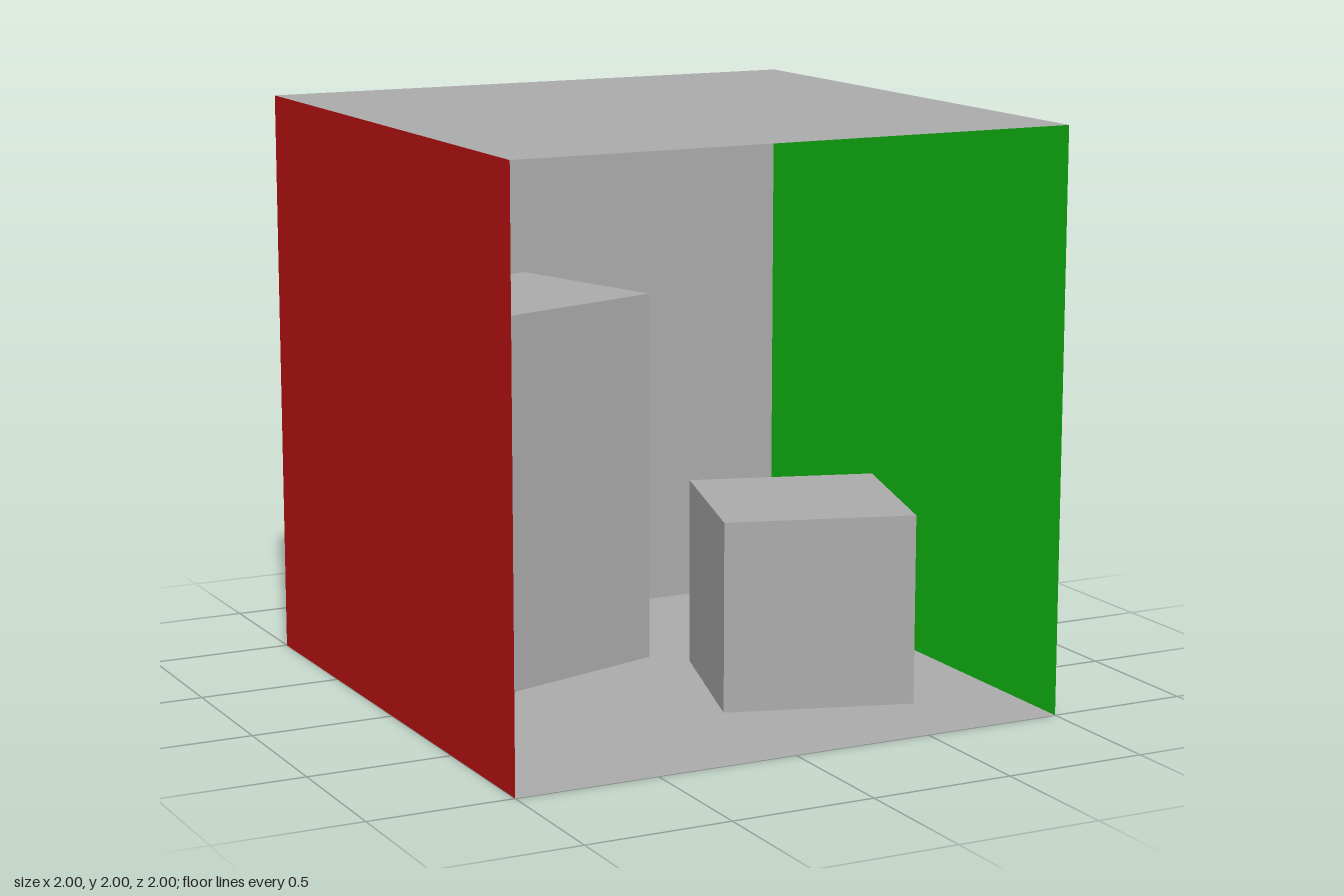
import * as THREE from 'three';

export function createModel() {
  const model = new THREE.Group();
  model.name = 'openRoom';

  const material = (name, color) => {
    const m = new THREE.MeshStandardMaterial({ color, side: THREE.DoubleSide });
    m.name = name;
    return m;
  };
  const grey = material('grey', 0xaaaaaa);
  const green = material('green', 0x11b911);
  const red = material('red', 0xb91111);

  const add = (name, geometry, mat, position, rx = 0, ry = 0) => {
    const mesh = new THREE.Mesh(geometry, mat);
    mesh.name = name;
    mesh.position.set(...position);
    mesh.rotation.set(rx, ry, 0);
    model.add(mesh);
  };

  // Room shell: single sheets, open at the front
  const sheet = new THREE.PlaneGeometry(2, 2);
  const quarter = Math.PI / 2;
  add('floor', sheet, grey, [0, 0, 0], -quarter);
  add('ceiling', sheet, grey, [0, 2, 0], quarter);
  add('backWall', sheet, grey, [0, 1, -1]);
  add('leftWall', sheet, green, [1, 1, 0], 0, -quarter);
  add('rightWall', sheet, red, [-1, 1, 0], 0, quarter);

  // Two blocks standing on the floor, turned opposite ways
  const side = 0.66;
  const turn = THREE.MathUtils.degToRad(17.2);
  const block = (name, height, x, z, angle) =>
    add(name, new THREE.BoxGeometry(side, height, side), grey, [x, height / 2, z], 0, angle);
  block('tallBlock', 1.32, -0.308, -0.486, turn);
  block('shortBlock', 0.66, 0.428, 0.252, -turn);

  return model;
}
